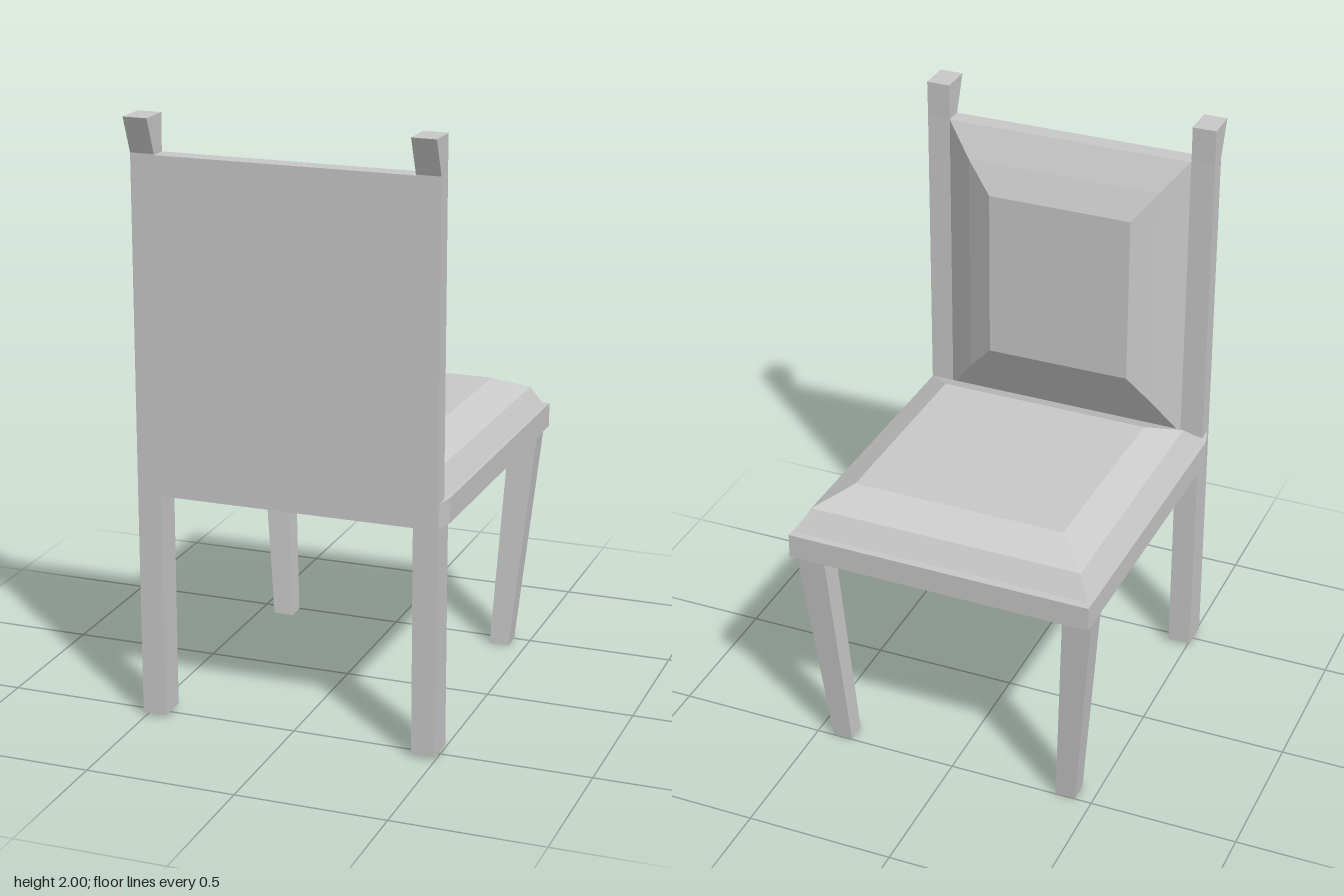
import * as THREE from 'three';

const material = new THREE.MeshStandardMaterial({ color: 0xcccccc, flatShading: true });

// Rectangular cross-section at height y
const rect = (y, x0, x1, z0, z1) => [[x0, y, z0], [x0, y, z1], [x1, y, z1], [x1, y, z0]];

// Closed solid through a stack of equal-sided cross-sections, bottom to top
function loft(name, rings) {
  const pos = [];
  const tri = (...points) => points.forEach((p) => pos.push(...p));
  const n = rings[0].length;
  for (let r = 0; r < rings.length - 1; r++) {
    const a = rings[r], b = rings[r + 1];
    for (let i = 0; i < n; i++) {
      const j = (i + 1) % n;
      tri(a[i], a[j], b[j]);
      tri(a[i], b[j], b[i]);
    }
  }
  const bottom = rings[0], top = rings[rings.length - 1];
  for (let i = 1; i < n - 1; i++) {
    tri(bottom[0], bottom[i + 1], bottom[i]);
    tri(top[0], top[i], top[i + 1]);
  }
  const geometry = new THREE.BufferGeometry();
  geometry.setAttribute('position', new THREE.Float32BufferAttribute(pos, 3));
  geometry.computeVertexNormals();
  const mesh = new THREE.Mesh(geometry, material);
  mesh.name = name;
  return mesh;
}

export function createModel() {
  const chair = new THREE.Group();
  chair.name = 'chair';

  // Seat frame, tapering in to meet the back posts
  const outline = [[-0.515, -0.6], [-0.53, 0.47], [-0.508, 0.548], [0.498, 0.548], [0.513, 0.47], [0.525, -0.59]];
  chair.add(loft('seatFrame', [0.77, 0.853].map((y) => outline.map(([x, z]) => [x, y, z]))));

  // Bevelled seat cushion
  chair.add(loft('seatCushion', [
    [[-0.5, 0.853, -0.573], [-0.51, 0.853, 0.483], [0.498, 0.853, 0.492], [0.513, 0.853, -0.563]],
    [[-0.46, 0.927, -0.53], [-0.47, 0.927, 0.397], [0.46, 0.927, 0.405], [0.475, 0.927, -0.52]],
    [[-0.355, 0.98, -0.412], [-0.37, 0.98, 0.282], [0.36, 0.98, 0.288], [0.37, 0.98, -0.406]],
  ]));

  for (const [side, outer, inner] of [['right', -0.51, -0.43], ['left', 0.5, 0.42]]) {
    const x0 = Math.min(outer, inner), x1 = Math.max(outer, inner);
    // Straight back leg and the post above it, flared backwards at the tip
    chair.add(loft(side + 'BackLeg', [rect(0.01, x0, x1, 0.45, 0.553), rect(0.77, x0, x1, 0.45, 0.553)]));
    chair.add(loft(side + 'BackPost', [
      rect(0.77, x0, x1, 0.49, 0.553),
      rect(1.88, x0, x1, 0.49, 0.55),
      rect(2, x0, x1, 0.488, 0.597),
    ]));
    // Front leg leaning inwards and backwards to the floor
    const s = side === 'left' ? 1 : -1;
    const span = (a, b) => (s > 0 ? [a, b] : [-b, -a]);
    chair.add(loft(side + 'FrontLeg', [
      rect(0, ...span(0.373, 0.442), -0.498, -0.43),
      rect(0.77, ...span(0.415, 0.513), -0.567, -0.485),
    ]));
  }

  // Back panel between the posts
  chair.add(loft('backPanel', [rect(0.77, -0.43, 0.42, 0.488, 0.552), rect(1.877, -0.43, 0.42, 0.488, 0.549)]));

  // Bevelled back cushion, lofted flat and turned to face the seat
  const backCushion = loft('backCushion', [
    rect(0, -0.43, 0.42, 0.855, 1.877),
    rect(0.05, -0.34, 0.33, 0.98, 1.77),
    rect(0.09, -0.26, 0.24, 1.08, 1.67),
  ]);
  backCushion.rotation.x = -Math.PI / 2;
  backCushion.position.z = 0.488;
  chair.add(backCushion);

  return chair;
}
